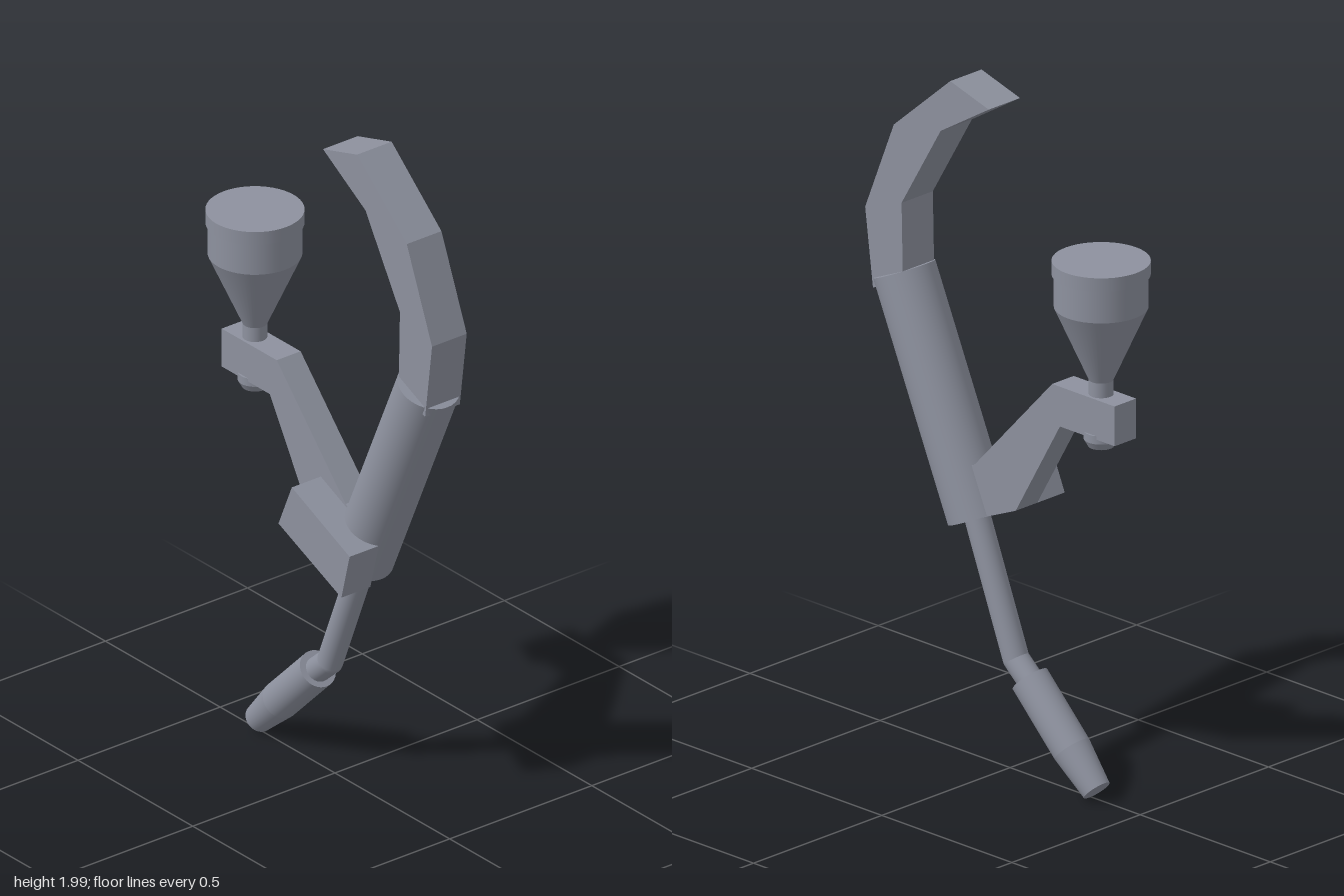
import * as THREE from 'three';

const AXIS_Z = -0.007;
const UP = new THREE.Vector3(0, 1, 0);

export function createModel() {
  const group = new THREE.Group();
  const metal = new THREE.MeshStandardMaterial({ color: 0x8d919e });
  metal.name = 'grey metal';

  const add = (name, geometry) => {
    const mesh = new THREE.Mesh(geometry, metal);
    mesh.name = name;
    group.add(mesh);
    return mesh;
  };

  // Round bar between two points in the central plane
  const bar = (name, [x0, y0], [x1, y1], r0, r1 = r0, sides = 32) => {
    const a = new THREE.Vector3(x0, y0, AXIS_Z);
    const b = new THREE.Vector3(x1, y1, AXIS_Z);
    const dir = b.clone().sub(a);
    const mesh = add(name, new THREE.CylinderGeometry(r1, r0, dir.length(), sides));
    mesh.position.copy(a).add(b).multiplyScalar(0.5);
    mesh.quaternion.setFromUnitVectors(UP, dir.normalize());
    return mesh;
  };

  // Flat outline extruded from z0 to z1
  const slab = (name, points, z0, z1) => {
    const shape = new THREE.Shape(points.map(([x, y]) => new THREE.Vector2(x, y)));
    const geometry = new THREE.ExtrudeGeometry(shape, { depth: z1 - z0, bevelEnabled: false });
    add(name, geometry.translate(0, 0, z0));
  };

  // Curved hook handle
  slab('hookHandle', [
    [0.015, 1.957], [0.2, 1.843], [0.35, 1.59], [0.345, 1.36],
    [0.46, 1.31], [0.49, 1.54], [0.38, 1.812], [0.163, 2.0],
  ], AXIS_Z - 0.061, AXIS_Z + 0.061);

  // Main barrel and thin lance
  bar('barrel', [0.112, 0.717], [0.4, 1.365], 0.089);
  bar('lance', [-0.03, 0.337], [0.125, 0.73], 0.037);
  const elbow = add('lanceElbow', new THREE.SphereGeometry(0.037, 24, 16));
  elbow.position.set(-0.03, 0.337, AXIS_Z);
  bar('lanceTip', [-0.09, 0.284], [-0.03, 0.337], 0.037);

  // Nozzle: straight sleeve and tapered end
  bar('nozzleSleeve', [-0.245, 0.13], [-0.083, 0.292], 0.055);
  bar('nozzleTaper', [-0.34, 0.035], [-0.245, 0.13], 0.041, 0.055);

  // Side block on the front of the barrel
  slab('sideBlock', [
    [-0.07, 0.795], [0.204, 0.677], [0.24, 0.818], [-0.012, 0.93],
  ], 0.04, 0.142);

  // Bent arm carrying the cup
  slab('cupArm', [
    [-0.45, 1.09], [-0.24, 1.09], [-0.07, 0.795], [0.08, 0.73],
    [0.15, 0.86], [0.09, 0.885], [-0.21, 1.207], [-0.45, 1.207],
  ], AXIS_Z - 0.042, AXIS_Z + 0.042);

  // Cup, funnel, neck and the nut below the arm
  const x = -0.357;
  bar('cupLid', [x, 1.56], [x, 1.6], 0.136, 0.136, 48);
  bar('cupBody', [x, 1.465], [x, 1.57], 0.13, 0.13, 48);
  bar('cupFunnel', [x, 1.25], [x, 1.465], 0.034, 0.13, 48);
  bar('cupNeck', [x, 1.19], [x, 1.255], 0.034);
  bar('nut', [x, 1.076], [x, 1.1], 0.048, 0.048, 32);
  bar('nutTip', [x, 1.055], [x, 1.076], 0.036, 0.048, 32);

  return group;
}
